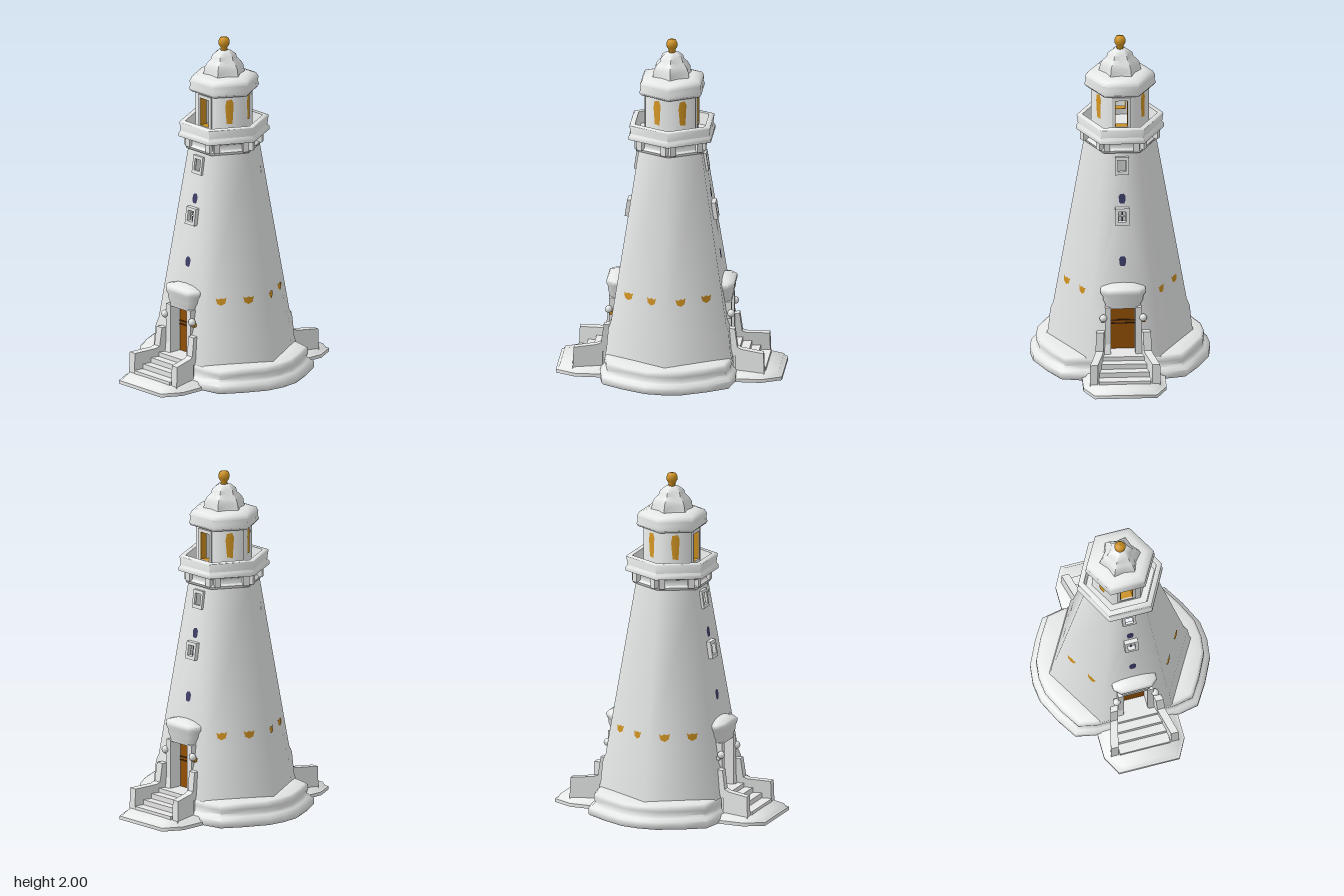
import * as THREE from 'three';
import { toCreasedNormals } from 'three/addons/utils/BufferGeometryUtils.js';

const paint = (name, color, side = THREE.FrontSide) => {
  const m = new THREE.MeshStandardMaterial({ color, side });
  m.name = name;
  return m;
};

const HEX = Array.from({ length: 6 }, (_, i) => [Math.cos(i * Math.PI / 3), Math.sin(i * Math.PI / 3)]);
const APO = Math.sqrt(3) / 2;

// Skin of scaled copies of an outline (x, z), one per ring [scale, y], bottom to top
function loft(outline, rings) {
  const pos = [], n = outline.length;
  const at = (i, [s, y]) => [outline[i % n][0] * s, y, outline[i % n][1] * s];
  for (let j = 0; j < rings.length - 1; j++) {
    for (let i = 0; i < n; i++) {
      const a = at(i, rings[j]), b = at(i + 1, rings[j]);
      const c = at(i + 1, rings[j + 1]), d = at(i, rings[j + 1]);
      if (rings[j][0] > 0) pos.push(...a, ...d, ...b);
      if (rings[j + 1][0] > 0) pos.push(...b, ...d, ...c);
    }
  }
  const g = new THREE.BufferGeometry();
  g.setAttribute('position', new THREE.Float32BufferAttribute(pos, 3));
  return toCreasedNormals(g, 1.15);
}

const poly = pts => new THREE.Shape(pts.map(p => new THREE.Vector2(p[0], p[1])));
const rect = (x0, x1, y0, y1) => poly([[x0, y0], [x1, y0], [x1, y1], [x0, y1]]);

// Lean a flat geometry against face k of a hexagon whose radius depends on y
function onFace(g, k, radius, lift = 0) {
  const p = g.attributes.position;
  for (let i = 0; i < p.count; i++) p.setZ(i, p.getZ(i) + APO * radius(p.getY(i)) + lift);
  g.rotateY(k * Math.PI / 3);
  g.computeVertexNormals();
  return g;
}

// Soften a wall panel so that its shading flows around the tower
function soften(g) {
  const p = g.attributes.position, n = new THREE.Vector3();
  for (let i = 0; i < p.count; i++) {
    n.set(p.getX(i), 0, p.getZ(i)).normalize().setY(0.16).normalize();
    g.attributes.normal.setXYZ(i, n.x, n.y, n.z);
  }
  return g;
}

const linear = (y0, r0, y1, r1) => y => r0 + (r1 - r0) * (y - y0) / (y1 - y0);
const towerR = linear(0.33, 0.385, 1.35, 0.21);

export function createModel() {
  const model = new THREE.Group();
  model.name = 'lighthouse';
  const stone = paint('paleStone', 0xe9ebea);
  const wall = paint('paleStoneWall', 0xe9ebea, THREE.DoubleSide);
  const gold = paint('gold', 0xcb8f20, THREE.DoubleSide);
  const wood = paint('doorWood', 0x925004);
  const darkWood = paint('darkWood', 0x4a2808);
  const navy = paint('navy', 0x3c3d66, THREE.DoubleSide);

  const add = (parent, name, geo, mat, x = 0, y = 0, z = 0) => {
    const m = new THREE.Mesh(geo, mat);
    m.name = name;
    m.position.set(x, y, z);
    parent.add(m);
    return m;
  };
  const block = (parent, name, mat, x0, x1, y0, y1, z0, z1) =>
    add(parent, name, new THREE.BoxGeometry(x1 - x0, y1 - y0, z1 - z0), mat,
      (x0 + x1) / 2, (y0 + y1) / 2, (z0 + z1) / 2);

  // Rounded base, hollow and open underneath
  const q = [[0.52, 0], [0.507, 0.11], [0.44, 0.25], [0.365, 0.37], [0.25, 0.393]];
  const half = [...q, ...q.map(([x, z]) => [-x, z]).reverse()];
  const baseOutline = [...half, ...half.slice(1, -1).map(([x, z]) => [x, -z]).reverse()];
  add(model, 'base', loft(baseOutline, [[0.52, 0.065], [0.8, 0.045], [0.98, 0], [1, 0.01], [1, 0.045],
    [0.95, 0.06], [0.92, 0.075], [0.935, 0.1], [0.93, 0.125], [0.9, 0.135], [0.72, 0.137]]), stone);

  // Hexagonal walls, with door gaps and windows on the front and back
  const sections = [['plinth', 0.13, 0.425, 0.16, 0.415], ['plinth', 0.16, 0.415, 0.29, 0.402],
    ['plinthSlope', 0.29, 0.402, 0.33, 0.385], ['towerFoot', 0.33, 0.385, 0.43, towerR(0.43)],
    ['tower', 0.43, towerR(0.43), 1.35, 0.21]];
  for (const [name, y0, r0, y1, r1] of sections) {
    const radius = linear(y0, r0, y1, r1), a = r0 / 2, b = r1 / 2;
    for (let k = 0; k < 6; k++) {
      let shapes = [poly([[-a, y0], [a, y0], [b, y1], [-b, y1]])];
      if (k % 3 === 0) {
        if (y1 < 0.44) {
          shapes = [poly([[-a, y0], [-0.075, y0], [-0.075, y1], [-b, y1]]),
            poly([[0.075, y0], [a, y0], [b, y1], [0.075, y1]])];
        } else {
          shapes[0].holes.push(rect(-0.022, 0.022, 1.235, 1.305), rect(-0.02, 0.02, 0.935, 1));
        }
      }
      add(model, name, soften(onFace(new THREE.ShapeGeometry(shapes), k, radius)), wall);
    }
  }

  // Gallery with parapet
  const wideHex = HEX.map(([x, z]) => [x, z * 1.08]);
  add(model, 'gallery', loft(wideHex, [[0.19, 1.34], [0.21, 1.345], [0.215, 1.36], [0.2, 1.37], [0.2, 1.4],
    [0.23, 1.415], [0.255, 1.42], [0.255, 1.44], [0.243, 1.455], [0.25, 1.505], [0.247, 1.51],
    [0.217, 1.51], [0.205, 1.44], [0, 1.43]]), stone);
  for (let k = 0; k < 6; k++) {
    for (const u of [-0.085, 0.085]) {
      const g = new THREE.BoxGeometry(0.035, 0.06, 0.035);
      g.translate(u, 1.39, 0.19).rotateY(k * Math.PI / 3);
      add(model, 'corbel', g, stone);
    }
  }

  // Lantern room: gold-lined openings front and back, gold panes on the other sides
  const LR = 0.167;
  for (let k = 0; k < 6; k++) {
    const s = rect(-LR / 2, LR / 2, 1.43, 1.69);
    if (k % 3 === 0) s.holes.push(rect(-0.037, 0.037, 1.49, 1.655));
    add(model, 'lanternWall', soften(onFace(new THREE.ShapeGeometry(s), k, () => LR)), wall);
    if (k % 3 === 0) {
      const frame = (name, w, h, t, depth, lift, mat) => {
        const f = rect(-w - t, w + t, 1.49 - t, h + t);
        f.holes.push(rect(-w, w, 1.49, h));
        add(model, name, onFace(new THREE.ExtrudeGeometry(f, { depth, bevelEnabled: false }), k, () => LR, lift), mat);
      };
      frame('lanternFrame', 0.037, 1.655, 0.018, 0.008, 0, stone);
      frame('goldLining', 0.035, 1.652, 0.002, 0.045, -0.04, gold);
    } else {
      const pane = poly([[-0.016, 1.52], [0.018, 1.515], [0.025, 1.64], [0.014, 1.665], [-0.018, 1.66], [-0.025, 1.62]]);
      for (const lift of [0.003, -0.003])
        add(model, 'goldPane', soften(onFace(new THREE.ShapeGeometry(pane), k, () => LR, lift)), gold);
    }
  }

  // Eave, ribbed dome and finial
  add(model, 'eave', loft(HEX, [[0, 1.685], [0.17, 1.68], [0.195, 1.685], [0.208, 1.7], [0.2, 1.72],
    [0.203, 1.75], [0.19, 1.772], [0.15, 1.785], [0, 1.79]]), stone);
  const ribbed = Array.from({ length: 12 }, (_, i) => {
    const r = i % 2 ? 0.78 : 1;
    return [r * Math.cos(i * Math.PI / 6), r * Math.sin(i * Math.PI / 6)];
  });
  add(model, 'dome', loft(ribbed, [[0.125, 1.78], [0.118, 1.8], [0.115, 1.825], [0.1, 1.85],
    [0.078, 1.87], [0.07, 1.895], [0.04, 1.918], [0, 1.925]]), stone);
  add(model, 'finial', new THREE.LatheGeometry([[0, 1.9], [0.02, 1.91], [0.019, 1.935], [0.031, 1.955],
    [0.033, 1.975], [0.024, 1.994], [0, 2]].map(p => new THREE.Vector2(...p)), 12), gold);

  // Gold cup marks low on the side faces
  for (const k of [1, 2, 4, 5]) {
    for (const u of [-0.085, 0.077]) {
      const s = poly([[-0.032, 0.522], [-0.024, 0.488], [0, 0.476], [0.024, 0.488], [0.032, 0.522],
        [0.016, 0.514], [0, 0.52], [-0.016, 0.512]]);
      const g = new THREE.ShapeGeometry(s);
      g.translate(u, 0, 0);
      add(model, 'goldMark', soften(onFace(g, k, towerR, 0.003)), gold);
    }
  }

  // Entrance, steps and windows, the same on front and back
  for (const k of [0, 3]) {
    const side = new THREE.Group();
    side.name = k ? 'backEntrance' : 'frontEntrance';
    side.rotation.y = k * Math.PI / 3;
    model.add(side);

    const mirror = pts => [...pts, ...pts.map(([x, z]) => [-x, z]).reverse()];
    add(side, 'apron', loft(mirror([[0.24, -0.13], [0.24, 0.04], [0.18, 0.155]]),
      [[0, 0.035], [0.85, 0.025], [1, 0], [1, 0.02], [0.92, 0.025], [0.86, 0.045], [0, 0.05]]), stone, 0, 0, 0.5);
    for (const [z, y] of [[0.56, 0.065], [0.5, 0.095], [0.45, 0.125]])
      block(side, 'step', stone, -0.15, 0.15, 0.04, y, 0.37, z);
    block(side, 'landing', stone, -0.15, 0.15, 0.125, 0.15, 0.26, 0.4);

    block(side, 'door', wood, -0.075, 0.075, 0.15, 0.44, 0.258, 0.278);
    for (const y of [0.305, 0.325]) block(side, 'doorRail', darkWood, -0.07, 0.07, y, y + 0.008, 0.278, 0.282);
    add(side, 'doorHood', loft(mirror([[0.13, -0.045], [0.13, 0.035], [0.09, 0.07]]),
      [[0, 0.43], [0.75, 0.432], [0.8, 0.46], [0.88, 0.48], [0.9, 0.505], [1, 0.525], [1, 0.545],
        [0.9, 0.555], [0.5, 0.57], [0, 0.575]]), stone, 0, 0, 0.3);

    for (const s of [-1, 1]) {
      block(side, 'doorJamb', stone, s * 0.0875 - 0.0175, s * 0.0875 + 0.0175, 0.14, 0.44, 0.26, 0.355);
      add(side, 'doorLamp', new THREE.SphereGeometry(0.022, 10, 8), stone, s * 0.115, 0.375, 0.355);
      block(side, 'lampArm', s > 0 ? gold : stone, s * 0.115 - 0.012, s * 0.115 + 0.012, 0.345, 0.365, 0.3, 0.35);
      // Splayed stair wall
      const g = new THREE.ExtrudeGeometry(poly([[-0.33, 0.13], [-0.33, 0.295], [-0.38, 0.295], [-0.395, 0.185],
        [-0.42, 0.175], [-0.55, 0.165], [-0.555, 0.03], [-0.385, 0.03], [-0.385, 0.13]]),
        { depth: 0.045, bevelEnabled: false });
      g.rotateY(Math.PI / 2);
      const p = g.attributes.position;
      for (let i = 0; i < p.count; i++)
        p.setX(i, p.getX(i) - 0.0225 + s * (0.128 + (p.getZ(i) - 0.35) * 0.26));
      g.computeVertexNormals();
      add(side, 'stairWall', g, stone);
    }

    // Window frames, glazing bars and navy marks leaning with the wall
    for (const [y0, y1, hw, depth] of [[1.215, 1.32, 0.024, 0.015], [0.92, 1.02, 0.022, 0.025]]) {
      const f = rect(-0.04, 0.04, y0, y1);
      f.holes.push(rect(-hw, hw, y0 + 0.02, y1 - 0.018));
      add(side, 'windowFrame', onFace(new THREE.ExtrudeGeometry(f, { depth, bevelEnabled: false }), 0, towerR), stone);
    }
    add(side, 'mullion', onFace(new THREE.ShapeGeometry(rect(-0.005, 0.005, 0.93, 1.01)), 0, towerR, 0.004), navy);
    add(side, 'glazingBar', onFace(new THREE.ShapeGeometry(rect(-0.024, 0.024, 0.967, 0.975)), 0, towerR, 0.006), wall);
    for (const y of [1.07, 0.7]) {
      const s = poly([[-0.012, y - 0.028], [0.012, y - 0.028], [0.02, y - 0.01], [0.02, y + 0.015],
        [0.01, y + 0.03], [-0.012, y + 0.028], [-0.02, y + 0.012], [-0.018, y - 0.015]]);
      add(side, 'navyMark', soften(onFace(new THREE.ShapeGeometry(s), 0, towerR, 0.003)), navy);
    }
  }
  return model;
}
